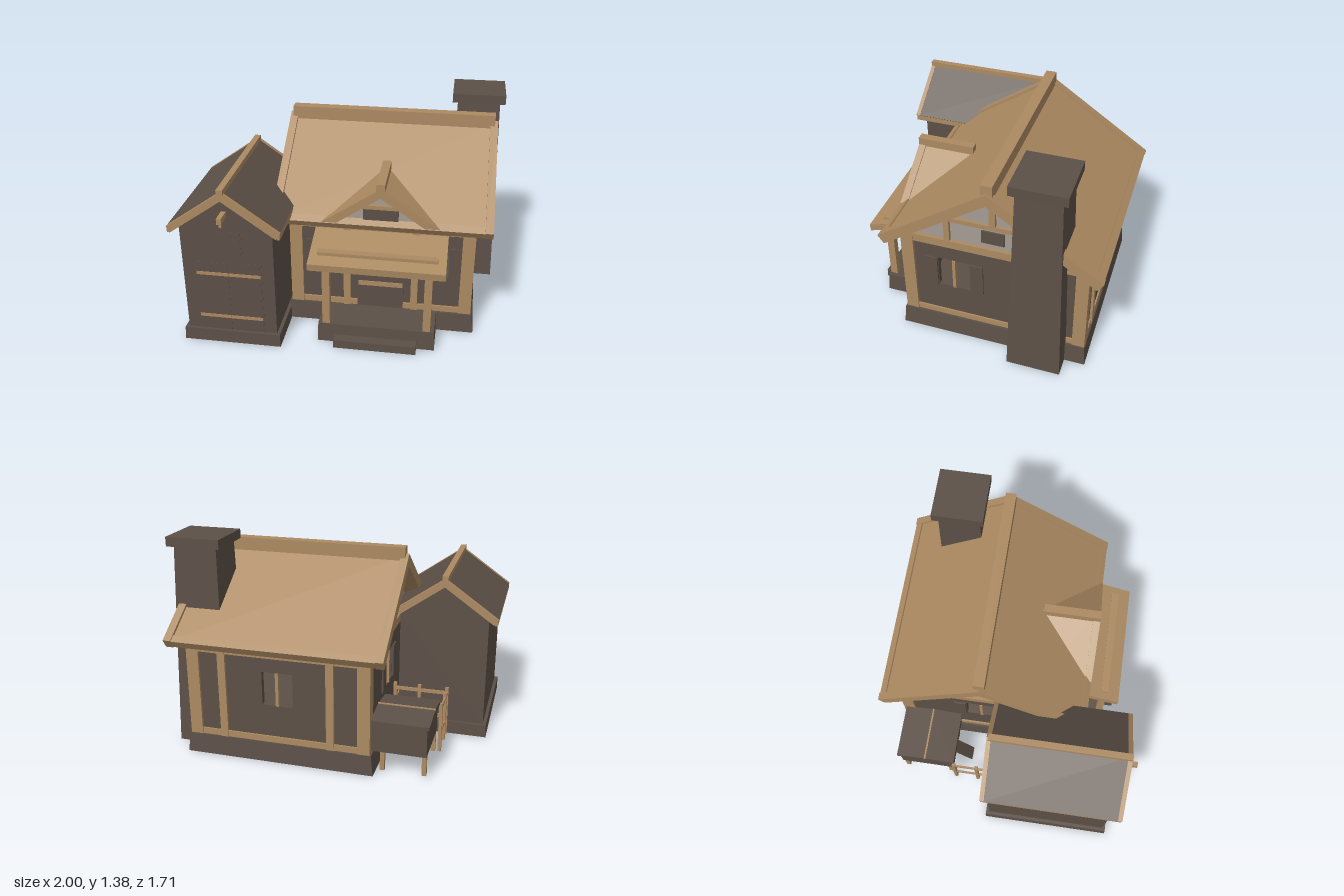
import * as THREE from 'three';

const mat = (name, color, side = THREE.FrontSide) => {
  const m = new THREE.MeshStandardMaterial({ color, side });
  m.name = name;
  return m;
};

export function createModel() {
  const wood = mat('tan wood', 0xac8a62);
  const stone = mat('dark stone', 0x5c5047, THREE.DoubleSide);
  const plaster = mat('grey plaster', 0xa59d93);

  const add = (parent, name, geo, material) => {
    const m = new THREE.Mesh(geo, material);
    m.name = name;
    parent.add(m);
    return m;
  };
  const group = (parent, name, x = 0, y = 0, z = 0, ry = 0) => {
    const g = new THREE.Group();
    g.name = name;
    g.position.set(x, y, z);
    g.rotation.y = ry;
    parent.add(g);
    return g;
  };
  // box from its limits
  const box = (p, name, m, x0, x1, y0, y1, z0, z1) => {
    const g = new THREE.BoxGeometry(x1 - x0, y1 - y0, z1 - z0);
    g.translate((x0 + x1) / 2, (y0 + y1) / 2, (z0 + z1) / 2);
    return add(p, name, g, m);
  };
  // tapered shell, open below: foot and top limits are [x0, x1, z0, z1]
  const shell = (p, name, foot, top, y0, y1) => {
    const g = new THREE.BoxGeometry(1, 1, 1);
    const a = g.attributes.position, index = [...g.index.array];
    for (let i = 0; i < a.count; i++) {
      const up = a.getY(i) > 0, r = up ? top : foot;
      a.setXYZ(i, a.getX(i) < 0 ? r[0] : r[1], up ? y1 : y0, a.getZ(i) < 0 ? r[2] : r[3]);
    }
    index.splice(18, 6);
    g.setIndex(index);
    g.clearGroups();
    g.computeVertexNormals();
    return add(p, name, g, stone);
  };
  const shapeOf = pts => new THREE.Shape(pts.map(q => new THREE.Vector2(q[0], q[1])));
  const extrude = (shape, depth) => new THREE.ExtrudeGeometry(shape, { depth, bevelEnabled: false });
  // profile [x, y] run along z, or profile [z, y] run along x
  const alongZ = (p, name, m, pts, z0, z1) =>
    add(p, name, extrude(shapeOf(pts), z1 - z0).translate(0, 0, z0), m);
  const alongX = (p, name, m, pts, x0, x1) =>
    add(p, name, extrude(shapeOf(pts.map(q => [-q[0], q[1]])), x1 - x0).rotateY(Math.PI / 2).translate(x0, 0, 0), m);
  // two sloping slabs as one profile, ends cut square to the slope
  const chevron = (w, peak, eave, t) => {
    const l = Math.hypot(w, peak - eave), c = w / l, s = (peak - eave) / l;
    return [[-w, eave], [-w + t * s, eave - t * c], [0, peak - t / c],
      [w - t * s, eave - t * c], [w, eave], [0, peak]];
  };
  // the same with ends cut level
  const levelChevron = (w, peak, eave, v) => {
    const i = w - v * w / (peak - eave);
    return [[-w, eave], [-i, eave], [0, peak - v], [i, eave], [w, eave], [0, peak]];
  };

  const model = new THREE.Group();
  model.name = 'cottage';

  // ---- Main house, centred under its ridge ----
  const house = group(model, 'mainHouse', 0.26, 0, -0.165);
  shell(house, 'foundation', [-0.615, 0.615, -0.605, 0.61], [-0.6, 0.6, -0.595, 0.6], 0, 0.13);

  // wall facing local +z with window openings, given as [centre, half width, shutter width]
  const makeWall = (name, angle, windows) => {
    const g = group(house, name, 0, 0, 0, angle);
    const shape = shapeOf([[-0.575, 0.13], [0.575, 0.13], [0.575, 0.75], [-0.575, 0.75]]);
    for (const [c, w, shutter] of windows) {
      const hole = new THREE.Path();
      hole.moveTo(c - w, 0.38).lineTo(c - w, 0.6).lineTo(c + w, 0.6).lineTo(c + w, 0.38).closePath();
      shape.holes.push(hole);
      box(g, 'mullion', wood, c - 0.01, c + 0.01, 0.38, 0.6, 0.555, 0.582);
      if (shutter) for (const s of [-1, 1]) {
        const m = c + s * (w + 0.004 + shutter / 2);
        box(g, 'shutter', stone, m - shutter / 2, m + shutter / 2, 0.38, 0.6, 0.57, 0.586);
      }
    }
    add(g, 'wallPanel', extrude(shape, 0.035).translate(0, 0, 0.54), stone);
    box(g, 'bottomRail', wood, -0.585, 0.585, 0.13, 0.17, 0.56, 0.586);
    return g;
  };
  const front = makeWall('frontWall', 0, [[-0.375, 0.055, 0.05], [0.38, 0.055, 0.05]]);
  const back = makeWall('backWall', Math.PI, [[0, 0.1, 0]]);
  const ends = [makeWall('rightGable', Math.PI / 2, [[-0.255, 0.103, 0.083]]),
    makeWall('leftGable', -Math.PI / 2, [[-0.03, 0.103, 0.083]])];

  // timber frame on the gable ends
  for (const g of ends) {
    alongZ(g, 'gablePanel', plaster, [[-0.57, 0.74], [0.57, 0.74], [0.57, 0.79], [0, 1.19], [-0.57, 0.79]], 0.535, 0.565);
    box(g, 'topRail', wood, -0.59, 0.59, 0.71, 0.765, 0.56, 0.588);
    box(g, 'collarBeam', wood, -0.315, 0.315, 0.915, 0.945, 0.56, 0.585);
    box(g, 'kingPost', wood, -0.02, 0.02, 0.945, 1.19, 0.56, 0.585);
    for (const t of [-1, 1]) box(g, 'queenPost', wood, t * 0.288 - 0.018, t * 0.288 + 0.018, 0.76, 0.945, 0.56, 0.587);
    box(g, 'gableVent', stone, -0.072, 0.072, 0.8, 0.89, 0.56, 0.575);
  }
  for (const g of [front, back]) {
    box(g, 'topRail', wood, -0.58, 0.58, 0.695, 0.75, 0.56, 0.588);
    for (const t of [-1, 1]) box(g, 'cornerPost', wood, t * 0.552 - 0.04, t * 0.552 + 0.04, 0.13, 0.76, 0.512, 0.592);
  }
  for (const x of [-0.22, 0.22]) box(front, 'doorPost', wood, x - 0.022, x + 0.022, 0.13, 0.73, 0.565, 0.595);
  for (const x of [-0.36, 0.34]) box(back, 'backPost', wood, x - 0.025, x + 0.025, 0.13, 0.74, 0.565, 0.592);
  box(front, 'door', stone, -0.15, 0.15, 0.13, 0.57, 0.565, 0.588);
  box(front, 'doorBand', wood, -0.145, 0.145, 0.29, 0.322, 0.58, 0.594);

  // roof slab with raised boards on every edge
  alongX(house, 'roof', wood, chevron(0.67, 1.235, 0.78, 0.04), -0.65, 0.65);
  box(house, 'ridgeBeam', wood, -0.67, 0.67, 1.215, 1.3, -0.035, 0.035);
  for (const s of [-1, 1]) {
    const a = s * 0.665;
    alongX(house, 'bargeBoard', wood, chevron(0.69, 1.255, 0.787, 0.066), a - 0.025, a + 0.025);
    const eave = [[0.686, 0.782], [0.645, 0.81], [0.615, 0.765], [0.656, 0.737]].map(q => [s * q[0], q[1]]);
    alongX(house, 'eaveBoard', wood, eave, -0.642, 0.642);
  }

  // ---- Chimney ----
  const chimney = group(model, 'chimney');
  shell(chimney, 'chimneyShaft', [0.66, 0.998, -0.64, -0.3], [0.68, 0.96, -0.605, -0.335], 0, 1.33);
  box(chimney, 'chimneyCap', stone, 0.645, 0.995, 1.32, 1.38, -0.64, -0.305);

  // ---- Dormer ----
  const dormer = group(model, 'dormer', 0.26, 0, 0);
  alongZ(dormer, 'dormerRoof', wood, levelChevron(0.36, 1.025, 0.785, 0.05), 0.14, 0.485);
  alongZ(dormer, 'dormerBarge', wood, levelChevron(0.366, 1.035, 0.788, 0.062), 0.476, 0.522);
  alongZ(dormer, 'dormerGable', plaster, [[-0.29, 0.785], [0.29, 0.785], [0, 0.985]], 0.36, 0.478);
  box(dormer, 'dormerCollar', wood, -0.14, 0.14, 0.885, 0.91, 0.47, 0.5);
  box(dormer, 'dormerVent', stone, -0.11, 0.11, 0.8, 0.885, 0.46, 0.487);
  box(dormer, 'dormerRidge', wood, -0.027, 0.027, 1.01, 1.065, 0.15, 0.522);

  // ---- Porch ----
  const porch = group(model, 'porch', 0.26, 0, 0);
  shell(porch, 'porchFloor', [-0.375, 0.375, 0.44, 0.672], [-0.37, 0.37, 0.43, 0.665], 0, 0.13);
  shell(porch, 'porchStep', [-0.262, 0.262, 0.66, 0.737], [-0.262, 0.262, 0.66, 0.735], 0, 0.055);
  alongX(porch, 'porchRoof', wood, [[0.73, 0.6], [0.725, 0.553], [0.41, 0.645], [0.41, 0.697]], -0.422, 0.422);
  box(porch, 'roofBatten', wood, -0.372, 0.372, 0.61, 0.645, 0.603, 0.652);
  box(porch, 'porchBeam', wood, -0.36, 0.36, 0.555, 0.59, 0.615, 0.658);
  for (const s of [-1, 1])
    box(porch, 'porchPost', wood, s * 0.32 - 0.024, s * 0.32 + 0.024, 0.13, 0.59, 0.612, 0.66);

  // ---- Shed, centred under its ridge ----
  const shed = group(model, 'shed', -0.65, 0, 0);
  shell(shed, 'shedFoundation', [-0.315, 0.315, -0.08, 0.782], [-0.312, 0.312, -0.078, 0.778], 0, 0.085);
  alongZ(shed, 'shedWalls', stone, [[-0.29, 0.08], [0.29, 0.08], [0.29, 0.82], [0, 1.03], [-0.29, 0.82]], -0.055, 0.757);
  alongZ(shed, 'shedRoof', stone, chevron(0.35, 1.08, 0.835, 0.04), -0.06, 0.785);
  for (const z of [-0.085, 0.782])
    alongZ(shed, 'shedBarge', wood, chevron(0.35, 1.083, 0.836, 0.045), z, z + 0.028);
  for (const s of [-1, 1]) box(shed, 'eaveBoard', wood, s * 0.338 - 0.01, s * 0.338 + 0.01, 0.795, 0.835, -0.08, 0.805);
  box(shed, 'shedRidge', wood, -0.02, 0.02, 1.055, 1.1, -0.075, 0.81);
  box(shed, 'hoistBeam', wood, -0.015, 0.015, 0.9, 0.938, 0.74, 0.858);
  box(shed, 'hoistHook', wood, -0.008, 0.008, 0.87, 0.91, 0.825, 0.842);
  box(shed, 'loftFrame', stone, -0.098, 0.098, 0.635, 0.8, 0.75, 0.759);
  box(shed, 'loftHatch', stone, -0.088, 0.088, 0.645, 0.79, 0.75, 0.761);
  box(shed, 'doorFrame', stone, -0.212, 0.212, 0.085, 0.585, 0.75, 0.759);
  for (const s of [-1, 1]) {
    box(shed, 'shedDoor', stone, s * 0.102 - 0.1, s * 0.102 + 0.1, 0.09, 0.575, 0.75, 0.761);
    for (const y of [0.175, 0.487])
      box(shed, 'doorBand', wood, s * 0.103 - 0.102, s * 0.103 + 0.102, y, y + 0.022, 0.755, 0.764);
  }

  // ---- Coop with a fenced pen ----
  const coop = group(model, 'coop');
  box(coop, 'coopBox', stone, -0.675, -0.33, 0.15, 0.345, -0.725, -0.355);
  alongX(coop, 'coopLid', stone, [[-0.74, 0.34], [-0.34, 0.34], [-0.34, 0.36], [-0.54, 0.385], [-0.74, 0.36]], -0.69, -0.33);
  box(coop, 'coopRidge', wood, -0.692, -0.33, 0.375, 0.39, -0.546, -0.534);
  for (const x of [-0.66, -0.4]) for (const z of [-0.7, -0.38])
    box(coop, 'coopLeg', wood, x - 0.014, x + 0.014, 0.02, 0.16, z - 0.014, z + 0.014);
  alongX(coop, 'ramp', stone, [[-0.365, 0.19], [-0.365, 0.17], [-0.255, 0], [-0.245, 0]], -0.565, -0.475);
  const posts = [[-0.695, -0.34], [-0.695, -0.18], [-0.695, -0.095], [-0.51, -0.095], [-0.345, -0.095]];
  for (const [x, z] of posts) box(coop, 'fencePost', wood, x - 0.011, x + 0.011, 0, 0.34, z - 0.011, z + 0.011);
  for (const y of [0.12, 0.29]) {
    box(coop, 'sideRail', wood, -0.701, -0.689, y, y + 0.022, -0.35, -0.09);
    box(coop, 'endRail', wood, -0.695, -0.335, y, y + 0.022, -0.101, -0.089);
  }

  return model;
}
